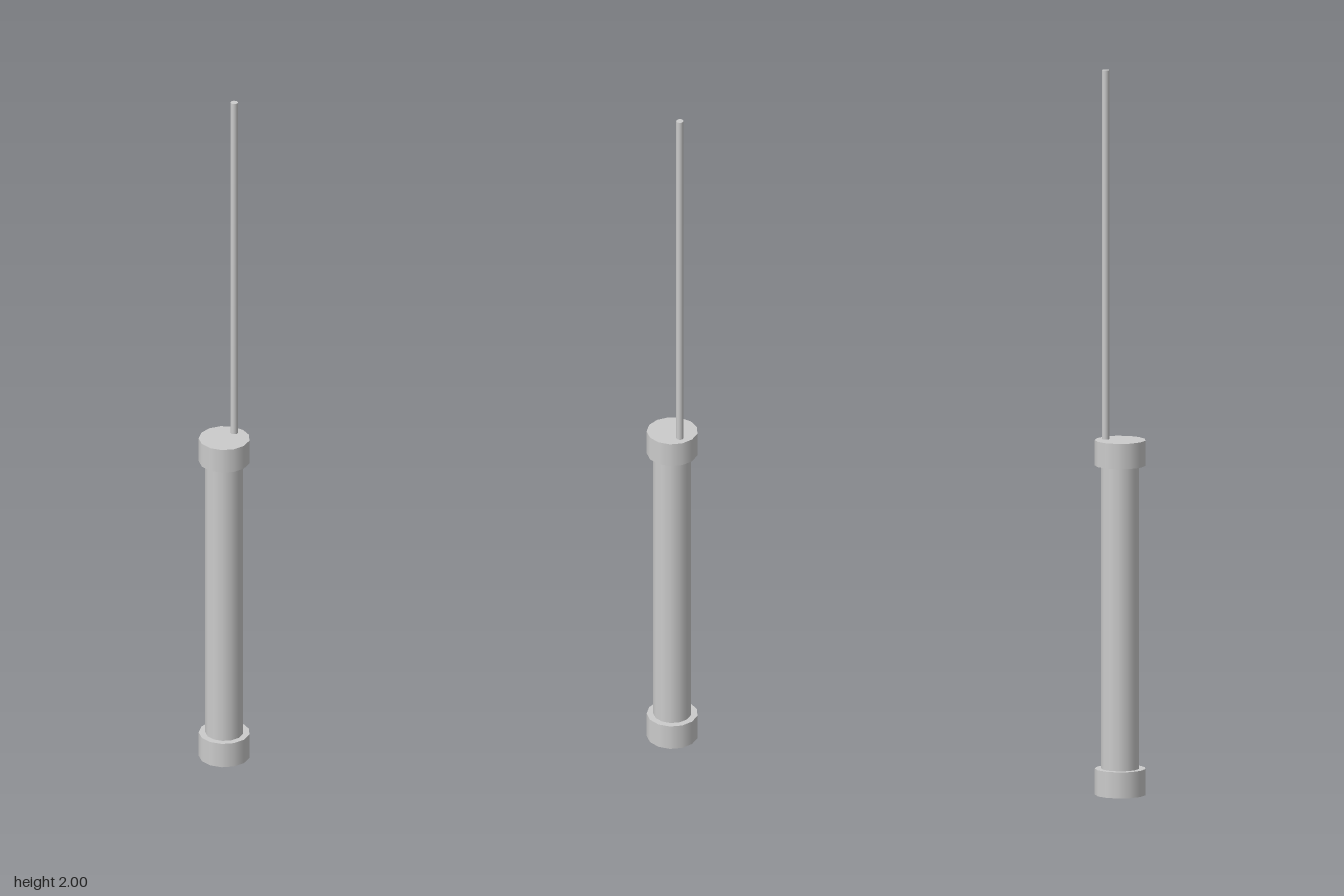
import * as THREE from 'three';

export function createModel() {
  const group = new THREE.Group();
  const material = new THREE.MeshStandardMaterial({ color: 0xcccccc });
  const sides = 13;

  // Upright smooth cylinder from y0 to y1, with one corner pointing to +x
  function addCylinder(name, radius, y0, y1, z = 0) {
    const geometry = new THREE.CylinderGeometry(radius, radius, y1 - y0, sides, 1, false, Math.PI / 2);
    const mesh = new THREE.Mesh(geometry, material);
    mesh.name = name;
    mesh.position.set(-0.001, (y0 + y1) / 2, z);
    group.add(mesh);
  }

  // Tube with a wider cap on each end
  addCylinder('body', 0.052, 0.03, 0.95);
  addCylinder('bottomCap', 0.07, 0, 0.072);
  addCylinder('topCap', 0.07, 0.91, 0.98);

  // Thin rod standing near the back edge of the top cap
  addCylinder('rod', 0.01, 0.97, 2, -0.042);

  return group;
}
